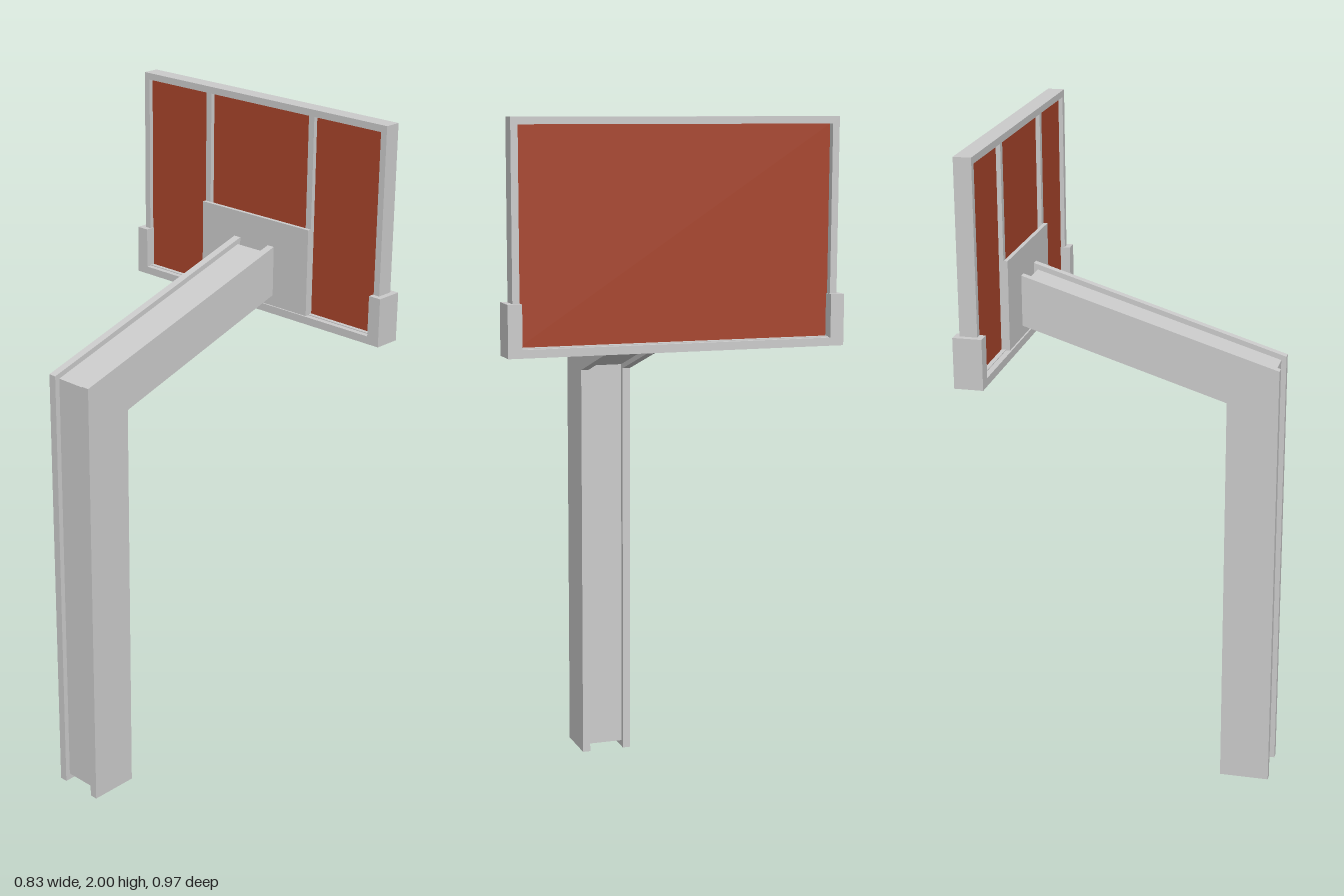
import * as THREE from 'three';

const grey = new THREE.MeshStandardMaterial({ color: 0xcccccc });
const red = new THREE.MeshStandardMaterial({ color: 0xa8442b });

// Box given by its low and high corners
function box(name, [x0, y0, z0], [x1, y1, z1], material = grey) {
  const mesh = new THREE.Mesh(new THREE.BoxGeometry(x1 - x0, y1 - y0, z1 - z0), material);
  mesh.position.set((x0 + x1) / 2, (y0 + y1) / 2, (z0 + z1) / 2);
  mesh.name = name;
  return mesh;
}

// Flat outline in x and y, extruded from z0 to z1
function slab(name, points, z0, z1, holes = []) {
  const toVectors = (list) => list.map(([x, y]) => new THREE.Vector2(x, y));
  const shape = new THREE.Shape(toVectors(points));
  holes.forEach((hole) => shape.holes.push(new THREE.Path(toVectors(hole))));
  const geometry = new THREE.ExtrudeGeometry(shape, { depth: z1 - z0, bevelEnabled: false });
  geometry.translate(0, 0, z0);
  const mesh = new THREE.Mesh(geometry, grey);
  mesh.name = name;
  return mesh;
}

// Outline in z and y, extruded along x from x0 to x1
function crossSlab(name, points, x0, x1, holes = []) {
  const mesh = slab(name, points, x0, x1, holes);
  mesh.geometry.rotateY(Math.PI / 2);
  return mesh;
}

const rect = (w, y0, y1) => [[-w, y0], [w, y0], [w, y1], [-w, y1]];

export function createModel() {
  const model = new THREE.Group();
  model.name = 'basketballBackboard';

  // Bent post: two side plates around a slightly inset core
  const post = new THREE.Group();
  post.name = 'post';
  const plate = [[-0.415, 0], [-0.265, 0], [-0.265, 1.23], [0.342, 1.422], [0.342, 1.572], [-0.415, 1.337]];
  const core = [[-0.4, 0.02], [-0.28, 0.02], [-0.28, 1.241], [0.327, 1.433], [0.327, 1.552], [-0.4, 1.326]];
  post.add(
    slab('postSideLeft', plate, 0.055, 0.079),
    slab('postSideRight', plate, -0.079, -0.055),
    slab('postCore', core, -0.055, 0.055),
  );

  // Board: frame, recessed panel, rear bars and mounting plate
  const board = new THREE.Group();
  board.name = 'board';
  board.add(
    crossSlab('frame', rect(0.47, 1.375, 2), 0.35, 0.4, [rect(0.45, 1.39, 1.98)]),
    box('panel', [0.363, 1.388, -0.452], [0.38, 1.982, 0.452], red),
    box('mountingPlate', [0.338, 1.385, -0.21], [0.35, 1.65, 0.21]),
  );
  for (const side of [-1, 1]) {
    board.add(box('rearBar', [0.35, 1.39, side * 0.2 - 0.01], [0.363, 1.98, side * 0.2 + 0.01]));
  }

  // Protective padding along the bottom, turned up at both corners
  const padding = crossSlab('bottomPadding', [
    [-0.487, 1.365], [0.487, 1.365], [0.487, 1.51], [0.447, 1.51],
    [0.447, 1.388], [-0.447, 1.388], [-0.447, 1.51], [-0.487, 1.51],
  ], 0.333, 0.415);

  model.add(post, board, padding);
  return model;
}
